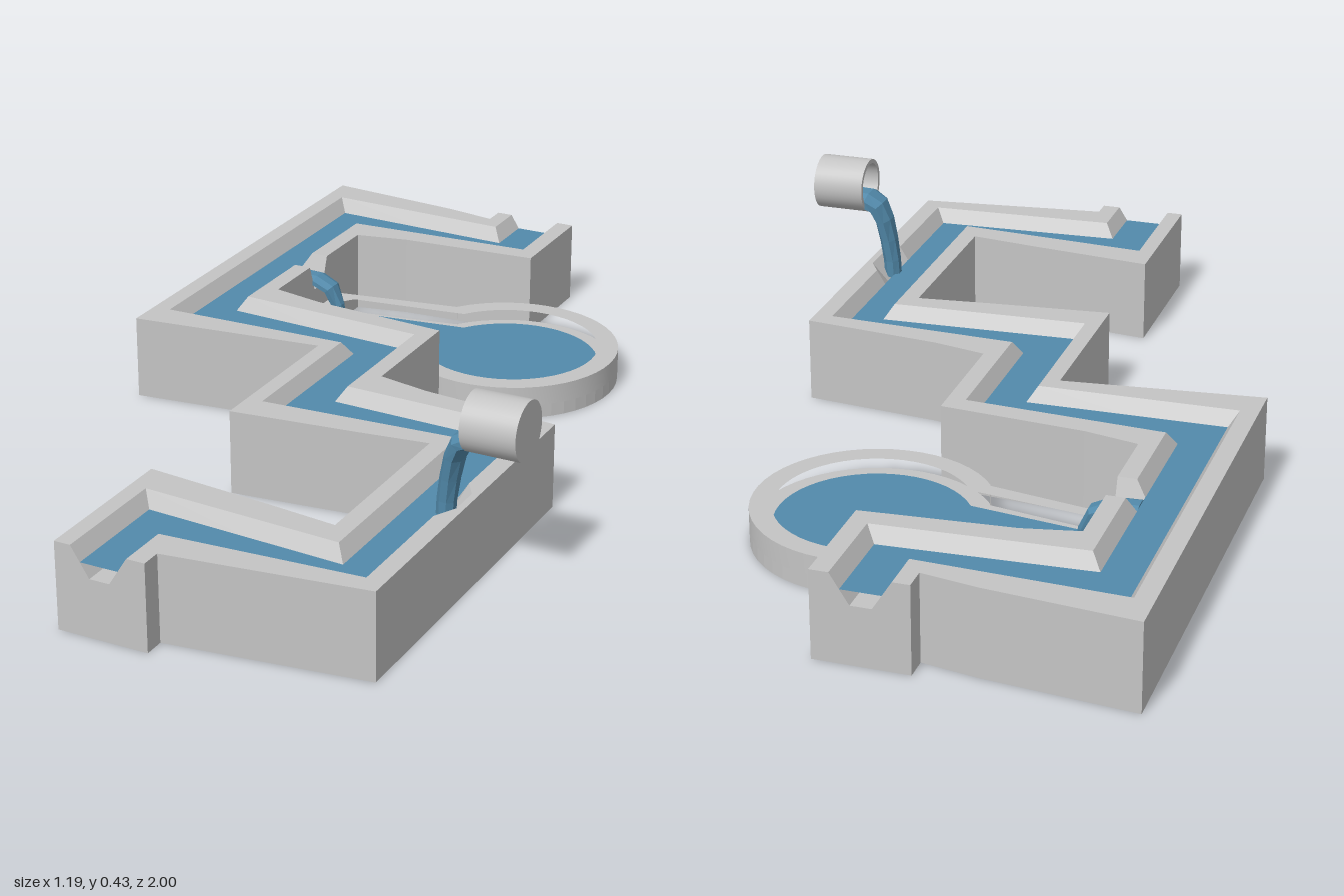
import * as THREE from 'three';
import { toCreasedNormals } from 'three/addons/utils/BufferGeometryUtils.js';

const TOP = 0.19, FLOOR = 0.127, WATER = 0.158;

export function createModel() {
  const model = new THREE.Group();
  const stone = new THREE.MeshStandardMaterial({ name: 'stone grey', color: 0xc4c4c4 });
  const water = new THREE.MeshStandardMaterial({ name: 'water blue', color: 0x528aab, side: THREE.DoubleSide });

  const add = (name, geometry, material) => {
    const mesh = new THREE.Mesh(geometry, material);
    mesh.name = name;
    model.add(mesh);
    return mesh;
  };
  // Plan points are [x, z]
  const planShape = (pts) => new THREE.Shape(pts.map(([x, z]) => new THREE.Vector2(x, -z)));
  const slab = (shape, y0, y1) => new THREE.ExtrudeGeometry(shape, { depth: y1 - y0, bevelEnabled: false })
    .rotateX(-Math.PI / 2).translate(0, y0, 0);
  const sheet = (shape, y) => new THREE.ShapeGeometry(shape).rotateX(-Math.PI / 2).translate(0, y, 0);

  // Mitred sideways offset of a plan polyline
  const inset = (line, d) => line.map((p, i) => {
    const normal = (a, b) => new THREE.Vector2(a[1] - b[1], b[0] - a[0]).normalize();
    const n0 = i > 0 ? normal(line[i - 1], p) : normal(p, line[1]);
    const n1 = i < line.length - 1 ? normal(p, line[i + 1]) : n0;
    const k = d / (1 + n0.dot(n1));
    return [p[0] + (n0.x + n1.x) * k, p[1] + (n0.y + n1.y) * k];
  });

  // Channel outlines, running from the front end to the back end
  const outerL = [[-0.16, 1], [-0.16, 0.65], [0.12, 0.68], [0.28, 0.7], [0.28, 0.29], [0.12, 0.31], [-0.16, 0.34],
    [-0.16, -0.05], [-0.6, 0], [-0.6, -1], [-0.28, -0.97], [-0.16, -0.95], [-0.16, -1]];
  const outerR = [[0.04, 1], [0.04, 0.955], [0.16, 0.94], [0.47, 0.9], [0.47, 0.09], [0.16, 0.06], [0.04, 0.035],
    [0.04, -0.25], [-0.28, -0.275], [-0.4, -0.3], [-0.4, -0.7], [-0.28, -0.725], [0.04, -0.75], [0.04, -1]];
  const grooveL = [[-0.124, 1], [-0.124, 0.73], [0.32, 0.76], [0.32, 0.24], [-0.124, 0.265],
    [-0.124, -0.09], [-0.56, -0.08], [-0.56, -0.92], [-0.124, -0.905], [-0.124, -1]];
  const grooveR = [[0, 1], [0, 0.885], [0.43, 0.86], [0.43, 0.13], [0, 0.115],
    [0, -0.205], [-0.44, -0.23], [-0.44, -0.77], [0, -0.795], [0, -1]];

  add('channelBase', slab(planShape([...outerL, ...outerR.slice().reverse()]), 0, FLOOR), stone);

  // Rim wall: the lower edge of each groove point leans in to its floor point
  const rim = (name, outer, tops, feet) => {
    const geo = slab(planShape([...outer, ...tops.slice().reverse()]), FLOOR, TOP);
    const pos = geo.attributes.position;
    for (let i = 0; i < pos.count; i++) {
      if (pos.getY(i) > FLOOR + 0.01) continue;
      const k = tops.findIndex((t) => Math.hypot(t[0] - pos.getX(i), t[1] - pos.getZ(i)) < 1e-4);
      if (k >= 0) pos.setXYZ(i, feet[k][0], FLOOR, feet[k][1]);
    }
    geo.computeVertexNormals();
    add(name, geo, stone);
  };
  const feetL = inset(grooveL, 0.04), feetR = inset(grooveR, -0.04);
  rim('rightRim', outerL, grooveL, feetL);

  // Left rim: split by the spillway, with a shallow dent beneath the pipe
  const dentTop = [[0.43, 0.58], [0.455, 0.53], [0.455, 0.46], [0.43, 0.42]];
  const dentFoot = [[0.39, 0.58], [0.405, 0.52], [0.405, 0.47], [0.39, 0.42]];
  rim('leftRimFront',
    outerR.slice(0, 10),
    [...grooveR.slice(0, 3), ...dentTop, ...grooveR.slice(3, 7), [-0.44, -0.455], [-0.4, -0.455]],
    [...feetR.slice(0, 3), ...dentFoot, ...feetR.slice(3, 7), [-0.48, -0.477], [-0.4, -0.477]]);
  rim('leftRimBack',
    outerR.slice(10),
    [[-0.4, -0.54], [-0.44, -0.54], ...grooveR.slice(7)],
    [[-0.4, -0.518], [-0.48, -0.518], ...feetR.slice(7)]);

  add('channelWater', sheet(planShape([...inset(grooveL, 0.02), ...inset(grooveR, -0.02).reverse()]), WATER), water);

  // Keyhole pool: round basin with a tapering neck
  const basin = (r, neck) => {
    const joint = neck[neck.length - 1];
    const a = Math.atan2(joint[1], joint[0] - 0.1);
    const pts = neck.map(([x, w]) => [x, -0.5 - w]);
    for (let i = 0; i <= 40; i++) {
      const t = a * (1 - i / 20);
      pts.push([0.1 + r * Math.cos(t), -0.5 - r * Math.sin(t)]);
    }
    neck.slice().reverse().forEach(([x, w]) => pts.push([x, -0.5 + w]));
    return pts;
  };
  const poolOuter = basin(0.252, [[-0.4, 0.097], [-0.102, 0.147]]);
  const poolInner = basin(0.205, [[-0.37, 0.045], [-0.345, 0.077], [-0.07, 0.114]]);
  const ring = planShape(poolOuter);
  ring.holes.push(planShape(poolInner));
  add('poolBase', slab(planShape(poolOuter), 0, 0.03), stone);
  add('poolWall', toCreasedNormals(slab(ring, 0.03, 0.075), 0.5), stone);
  add('poolWater', sheet(planShape(poolInner), 0.04), water);

  // Falling stream: rows are [x, y, half thickness, half width], swept as an octagon
  const stream = (name, z0, rows) => {
    const N = 8, pts = [], index = [];
    rows.forEach(([x, y, t, w], i) => {
      const a = rows[Math.max(i - 1, 0)], b = rows[Math.min(i + 1, rows.length - 1)];
      const len = Math.hypot(b[0] - a[0], b[1] - a[1]);
      const nx = -(b[1] - a[1]) / len, ny = (b[0] - a[0]) / len;
      for (let k = 0; k < N; k++) {
        const ang = ((k + 0.5) / N) * Math.PI * 2;
        const s = Math.sin(ang) * t;
        pts.push(x + nx * s, y + ny * s, z0 + Math.cos(ang) * w);
        if (i < rows.length - 1) {
          const p = i * N + k, q = i * N + (k + 1) % N;
          index.push(p, p + N, q, q, p + N, q + N);
        }
      }
    });
    const last = (rows.length - 1) * N;
    for (let k = 1; k < N - 1; k++) index.push(0, k, k + 1, last, last + k + 1, last + k);
    // Keep the outside of the tube facing out
    for (let i = 0; i < index.length; i += 3) [index[i + 1], index[i + 2]] = [index[i + 2], index[i + 1]];
    const indexed = new THREE.BufferGeometry();
    indexed.setAttribute('position', new THREE.Float32BufferAttribute(pts, 3));
    indexed.setIndex(index);
    const geo = indexed.toNonIndexed();
    geo.computeVertexNormals();
    add(name, geo, water);
  };
  stream('pipeStream', 0.5, [[0.53, 0.337, 0.022, 0.045], [0.475, 0.335, 0.022, 0.048], [0.452, 0.322, 0.021, 0.043],
    [0.437, 0.288, 0.02, 0.036], [0.427, 0.24, 0.02, 0.028], [0.42, 0.19, 0.02, 0.022], [0.418, 0.15, 0.02, 0.02]]);
  stream('spillStream', -0.497, [[-0.46, 0.148, 0.014, 0.032], [-0.4, 0.146, 0.014, 0.032], [-0.365, 0.13, 0.014, 0.03],
    [-0.348, 0.09, 0.015, 0.02], [-0.34, 0.035, 0.016, 0.014]]);

  // Pipe, open towards the channel
  const profile = [[0, 0], [0.062, 0], [0.062, 0.118], [0.052, 0.118], [0.052, 0.02], [0, 0.02]]
    .map(([r, h]) => new THREE.Vector2(r, h));
  const pipe = add('pipe', toCreasedNormals(new THREE.LatheGeometry(profile, 32), 0.6), stone);
  pipe.rotation.z = Math.PI / 2;
  pipe.position.set(0.59, 0.37, 0.5);

  return model;
}
